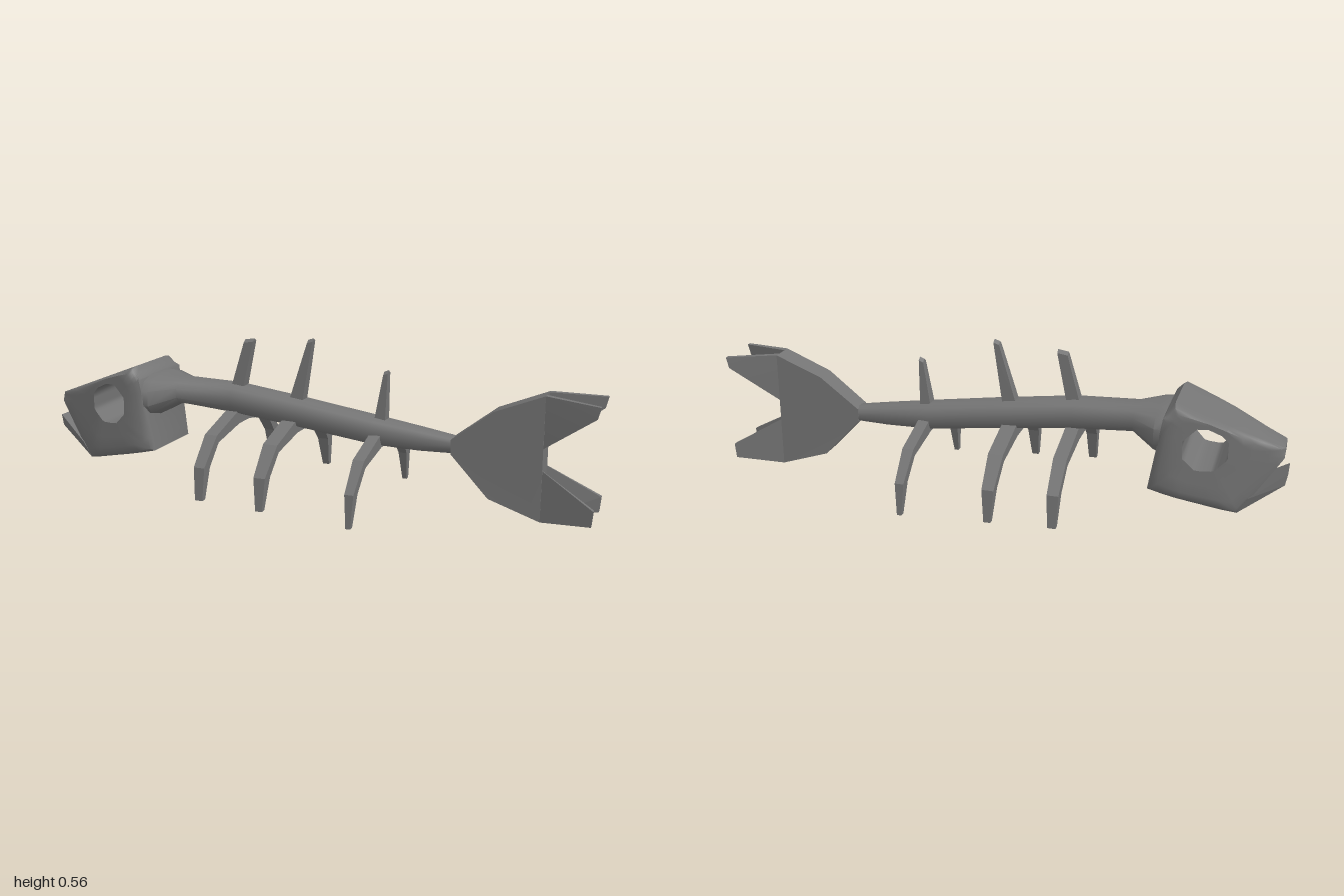
import * as THREE from 'three';
import { toCreasedNormals } from 'three/addons/utils/BufferGeometryUtils.js';
import { ConvexGeometry } from 'three/addons/geometries/ConvexGeometry.js';

const material = new THREE.MeshStandardMaterial({ color: 0x747474 });
const { lerp } = THREE.MathUtils;

function part(name, geometry, crease = 0.6) {
  const mesh = new THREE.Mesh(toCreasedNormals(geometry, crease), material);
  mesh.name = name;
  return mesh;
}

const hull = (name, pts) => part(name, new ConvexGeometry(pts.map((p) => new THREE.Vector3(...p))), 0.1);

// Skin over rows of points; each row is a closed loop
function skin(rows, wrapRows) {
  const n = rows[0].length, m = rows.length, index = [];
  for (let j = 0; j < (wrapRows ? m : m - 1); j++) {
    for (let i = 0; i < n; i++) {
      const i2 = (i + 1) % n, j2 = (j + 1) % m;
      const a = j * n + i, b = j2 * n + i, c = j2 * n + i2, d = j * n + i2;
      index.push(a, b, c, a, c, d);
    }
  }
  const g = new THREE.BufferGeometry();
  g.setAttribute('position', new THREE.Float32BufferAttribute(rows.flat(2), 3));
  g.setIndex(index);
  return g;
}

// Half width of the head along x
function headWidth(x) {
  const t = [[-1, 0.05], [-0.8, 0.12], [-0.63, 0.153], [-0.55, 0.146]];
  for (let i = 0; i < 3; i++) {
    const [a, b] = [t[i], t[i + 1]];
    if (x <= b[0]) return lerp(a[1], b[1], (x - a[0]) / (b[0] - a[0]));
  }
  return 0.146;
}

// Head: rings run from the eye hole out to the profile, across, and back to the other eye
function head() {
  const eye = [-0.738, 0.289];
  const profile = [ // x, y, share of the full width at the edge
    [-0.984, 0.262, 1], [-0.888, 0.118, 0.92], [-0.85, 0.064, 0.85], [-0.556, 0.13, 0.86],
    [-0.6, 0.39, 1], [-0.63, 0.432, 0.62], [-0.984, 0.294, 0.8],
  ];
  const edge = [];
  profile.forEach((p, i) => {
    const q = profile[(i + 1) % profile.length];
    for (let s = 0; s < 6; s++) edge.push(p.map((v, k) => lerp(v, q[k], s / 6)));
  });
  const ring = ([t, narrowing], side) => edge.map(([x, y, k]) => {
    const a = Math.atan2(y - eye[1], x - eye[0]) + Math.PI * 2 + Math.PI / 8;
    const r = 0.072 / Math.cos((a % (Math.PI / 4)) - Math.PI / 8);
    const ex = eye[0] + r * Math.cos(a - Math.PI / 8);
    const ey = eye[1] + r * Math.sin(a - Math.PI / 8);
    const px = lerp(ex, x, t), py = lerp(ey, y, t);
    return [px, py, side * headWidth(px) * lerp(1, k, narrowing)];
  });
  const steps = [[0, 0], [0.4, 0], [0.72, 0], [0.92, 0.3], [1, 1]];
  const rows = [...steps.map((s) => ring(s, 1)), ...steps.slice().reverse().map((s) => ring(s, -1))];
  return part('head', skin(rows, true), 0.95);
}

// Neck and backbone: oval sections given as x, top, bottom, half width
function backbone() {
  const sections = [
    [-0.61, 0.3, 0.29, 0.01], [-0.6, 0.395, 0.25, 0.145], [-0.57, 0.393, 0.25, 0.143],
    [-0.49, 0.38, 0.292, 0.078], [-0.28, 0.375, 0.273, 0.067], [0, 0.338, 0.24, 0.064],
    [0.24, 0.303, 0.209, 0.059], [0.4, 0.28, 0.203, 0.045], [0.54, 0.258, 0.206, 0.034],
  ];
  const soft = (v) => Math.sign(v) * Math.abs(v) ** 0.75;
  const rows = sections.map(([x, top, bottom, w]) => Array.from({ length: 12 }, (_, i) => {
    const a = (i + 0.5) / 12 * Math.PI * 2;
    const y = (top + bottom) / 2 + (top - bottom) / 2 * soft(Math.sin(a)) / soft(Math.sin(Math.PI * 5 / 12));
    return [x, y, w * soft(Math.cos(a)) / soft(Math.cos(Math.PI / 12))];
  }));
  return part('backbone', skin(rows, false), 0.9);
}

// Rib pair: one arch through the backbone, narrowing towards its tips
function ribPair(x, lift, topWidth, tipWidth) {
  const outer = [[0.04, 0.256], [0.212, 0.205], [0.302, 0.113], [0.31, 0]];
  const inner = [[0.29, 0], [0.26, 0.107], [0.2, 0.178], [0.04, 0.207]];
  const left = [...outer, ...inner];
  const right = left.map(([z, y]) => [-z, y]).reverse();
  const reach = 1 + lift * 0.8;
  const pts = [...left, ...right].map(([z, y]) => new THREE.Vector2(z * reach, y + lift));
  const g = new THREE.ExtrudeGeometry(new THREE.Shape(pts), { depth: 1, bevelEnabled: false });
  g.translate(0, 0, -0.5).rotateY(Math.PI / 2);
  const p = g.attributes.position;
  for (let i = 0; i < p.count; i++) {
    const w = lerp(tipWidth, topWidth, Math.min(1, (p.getY(i) - lift) / 0.18));
    p.setX(i, x + p.getX(i) * w);
  }
  return part('ribPair', g, 0.1);
}

// Back spine: leaning, tapered spike with a low ridge on top
function backSpine(x0, x1, y0, x2, x3, y1) {
  const pts = [[x2, y1 - 0.004, 0], [x3, y1 + 0.002, 0]];
  for (const s of [-1, 1]) {
    pts.push([x0, y0 - 0.04, s * 0.023], [x1, y0 - 0.04, s * 0.023]);
    pts.push([x2, y1 - 0.014, s * 0.014], [x3, y1 - 0.008, s * 0.014]);
  }
  return hull('backSpine', pts);
}

// Tail: fan, slightly thicker at its edges, ending in four prongs that spread sideways
function tail() {
  const group = new THREE.Group();
  group.name = 'tail';
  const fan = [[0.513, 0.208], [0.645, 0.07], [0.82, 0.012], [0.82, 0.433], [0.652, 0.365], [0.513, 0.257]];
  const g = new THREE.ExtrudeGeometry(new THREE.Shape(fan.map((p) => new THREE.Vector2(...p))),
    { depth: 2, bevelEnabled: false });
  g.translate(0, 0, -1);
  const p = g.attributes.position;
  for (let i = 0; i < p.count; i++) {
    p.setZ(i, p.getZ(i) * lerp(0.036, 0.043, Math.abs(p.getY(i) - 0.222) / 0.21));
  }
  group.add(part('tailFan', g, 0.3));
  const upper = [[0.815, 0.255], [0.82, 0.433], [0.99, 0.383], [1, 0.422]];
  const lower = [[0.815, 0.187], [0.82, 0.012], [0.995, 0.085], [0.99, 0.032]];
  const depths = [[0.033, 0.037], [0.02, 0.043], [0.074, 0.09], [0.074, 0.09]];
  for (const side of [-1, 1]) {
    for (const prong of [upper, lower]) {
      group.add(hull('tailProng', prong.flatMap(([x, y], i) => depths[i].map((z) => [x, y, side * z]))));
    }
  }
  return group;
}

export function createModel() {
  const model = new THREE.Group();
  model.name = 'fishSkeleton';
  model.add(head(), backbone(), tail());

  // Lower jaw jutting forward under the mouth notch
  const jaw = [[-0.88, 0.12, 0.092], [-1, 0.205, 0.05], [-0.993, 0.166, 0.05], [-0.85, 0.065, 0.088]];
  model.add(hull('lowerJaw', jaw.flatMap(([x, y, z]) => [[x, y, z], [x, y, -z]])));

  model.add(ribPair(-0.281, 0.033, 0.046, 0.028));
  model.add(ribPair(-0.06, 0.021, 0.052, 0.024));
  model.add(ribPair(0.254, 0, 0.04, 0.016));

  model.add(backSpine(-0.306, -0.258, 0.375, -0.25, -0.214, 0.54));
  model.add(backSpine(-0.085, -0.03, 0.34, -0.01, 0.01, 0.555));
  model.add(backSpine(0.235, 0.278, 0.305, 0.267, 0.283, 0.465));
  return model;
}
